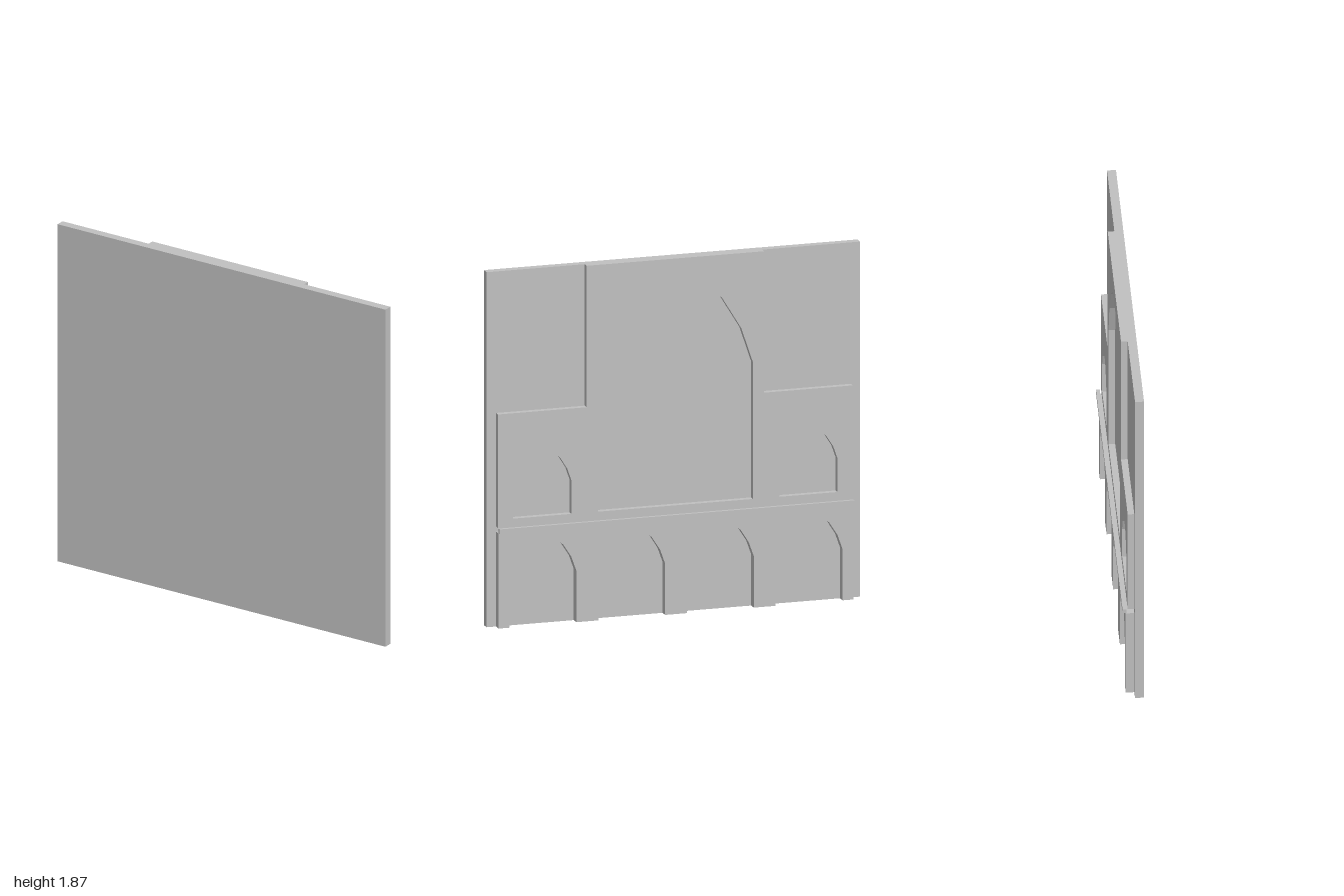
import * as THREE from 'three';

// Quarter profile of the faceted arch head, as fractions of half width and rise
const HEAD = [[1, 0], [0.85, 0.38], [0.6, 0.73], [0.3, 0.935], [0, 1]];

// Outline of an arch from its lower right corner to its lower left corner
function archPoints(cx, half, base, spring, top) {
  const point = (side, [x, y]) => new THREE.Vector2(cx + side * half * x, spring + (top - spring) * y);
  return [
    new THREE.Vector2(cx + half, base),
    ...HEAD.map((p) => point(1, p)),
    ...HEAD.slice(0, -1).reverse().map((p) => point(-1, p)),
    new THREE.Vector2(cx - half, base),
  ];
}

export function createModel() {
  const group = new THREE.Group();
  const stone = new THREE.MeshStandardMaterial({ color: 0xc0c0c0 });
  stone.name = 'grey stone';

  const wallBack = 0.007;

  function add(name, geometry) {
    const mesh = new THREE.Mesh(geometry, stone);
    mesh.name = name;
    group.add(mesh);
    return mesh;
  }

  function box(name, w, y0, y1, z0, z1) {
    add(name, new THREE.BoxGeometry(w, y1 - y0, z1 - z0)).position.set(0, (y0 + y1) / 2, (z0 + z1) / 2);
  }

  // Panel standing out behind the wall
  function panel(name, shape, z0) {
    const geometry = new THREE.ExtrudeGeometry(shape, { depth: wallBack - z0, bevelEnabled: false });
    geometry.translate(0, 0, z0);
    add(name, geometry);
  }

  box('wall', 2, 0, 1.87, wallBack, 0.053);

  // Lower arcade, with four arches open at the ground
  const arcade = [new THREE.Vector2(0.95, 0), new THREE.Vector2(0.95, 0.5),
    new THREE.Vector2(-0.95, 0.5), new THREE.Vector2(-0.95, 0)];
  for (const cx of [-0.7125, -0.2375, 0.2375, 0.7125]) {
    arcade.push(...archPoints(cx, 0.179, 0, 0.27, 0.47).reverse());
  }
  panel('lowerArcade', new THREE.Shape(arcade), -0.037);

  // Stepped upper panel with one large niche and two small ones
  const upper = new THREE.Shape([
    [-0.95, 0.527], [0.95, 0.527], [0.95, 1.125], [0.475, 1.125],
    [0.475, 1.87], [-0.475, 1.87], [-0.475, 1.125], [-0.95, 1.125],
  ].map(([x, y]) => new THREE.Vector2(x, y)));
  upper.holes.push(new THREE.Path(archPoints(0, 0.415, 0.57, 1.29, 1.775)));
  for (const side of [-1, 1]) {
    upper.holes.push(new THREE.Path(archPoints(side * 0.7125, 0.156, 0.57, 0.745, 0.92)));
  }
  panel('upperPanel', upper, -0.027);

  // Slim string course across the gap between the panels
  box('ledge', 1.9, 0.502, 0.526, -0.053, -0.034);

  return group;
}
